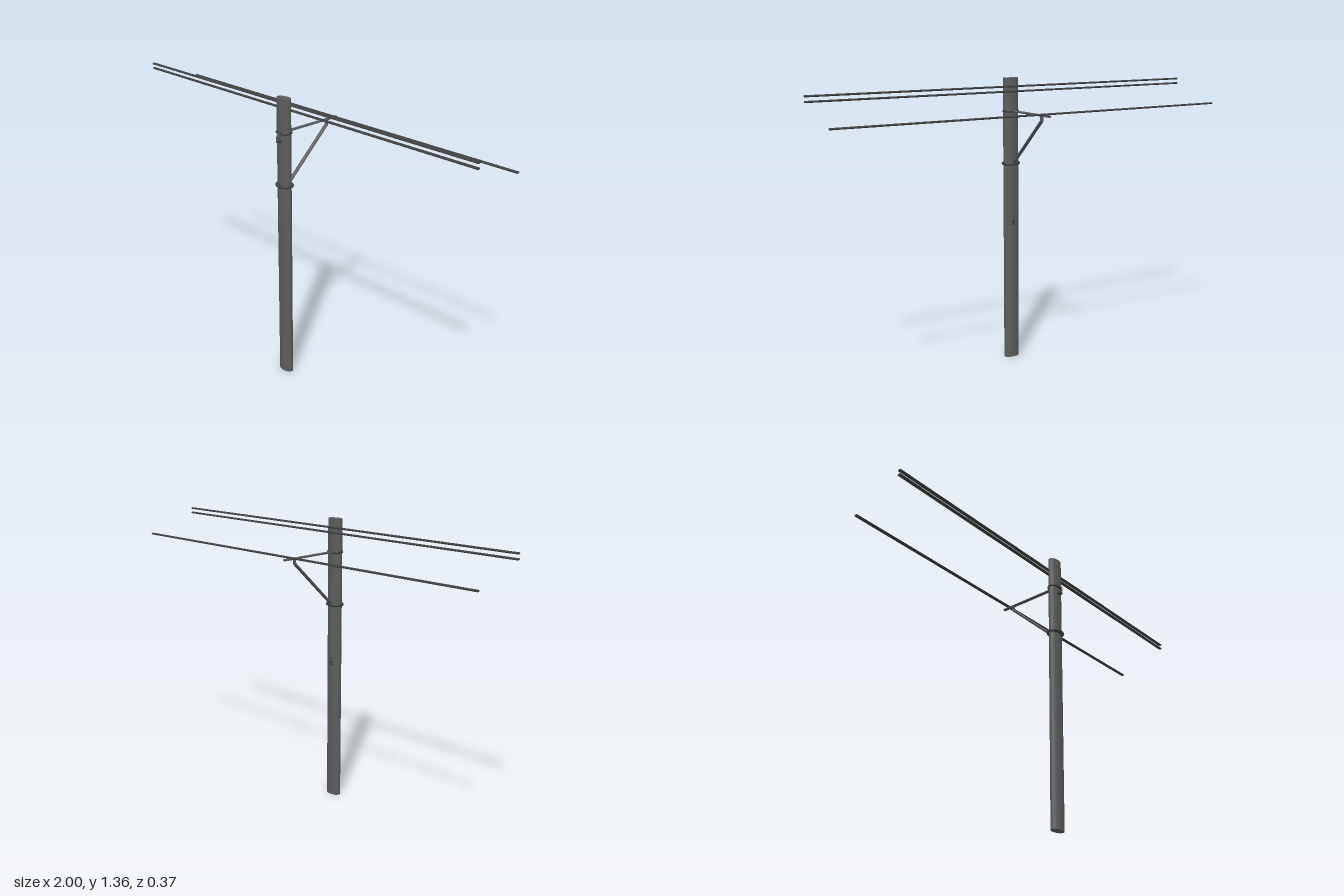
import * as THREE from 'three';

const poleGrey = new THREE.MeshStandardMaterial({ color: 0x5c5c5c });
const armGrey = new THREE.MeshStandardMaterial({ color: 0x58585c });
const darkGrey = new THREE.MeshStandardMaterial({ color: 0x404040 });
const X = -0.004, Z = 0.139; // pole axis

export function createModel() {
  const group = new THREE.Group();

  function add(name, geometry, material, x = 0, y = 0, z = 0) {
    const mesh = new THREE.Mesh(geometry, material);
    mesh.name = name;
    mesh.position.set(x, y, z);
    group.add(mesh);
  }

  // Oval rod along the x axis
  function wire(name, y, z) {
    const g = new THREE.CylinderGeometry(1, 1, 2, 12);
    g.rotateZ(Math.PI / 2);
    g.scale(1, 0.0045, 0.009);
    add(name, g, darkGrey, 0, y, z);
  }

  // Oval rod in the plane x = X, from (y0, z0) to (y1, z1)
  function rod(name, y0, z0, y1, z1, halfWidth, halfDepth) {
    const length = Math.hypot(y1 - y0, z1 - z0);
    const g = new THREE.CylinderGeometry(1, 1, length, 12);
    g.scale(halfWidth, 1, halfDepth);
    g.rotateX(Math.atan2(z1 - z0, y1 - y0));
    add(name, g, armGrey, X, (y0 + y1) / 2, (z0 + z1) / 2);
  }

  // Rounded oval band that wraps the pole
  function collar(name, y, rx, rz, halfHeight) {
    const profile = [new THREE.Vector2(0.6, -halfHeight)];
    for (let i = 0; i <= 8; i++) {
      const a = -Math.PI / 2 + (Math.PI * i) / 8;
      profile.push(new THREE.Vector2(0.85 + 0.15 * Math.cos(a), halfHeight * Math.sin(a)));
    }
    profile.push(new THREE.Vector2(0.6, halfHeight));
    const g = new THREE.LatheGeometry(profile, 32);
    g.scale(rx, 1, rz);
    add(name, g, darkGrey, X, y, Z);
  }

  // Pole, wider across than deep
  const pole = new THREE.CylinderGeometry(1, 1, 1.362, 32);
  pole.scale(0.039, 1, 0.0235);
  add('pole', pole, poleGrey, X, 0.681, Z);

  collar('lowerCollar', 0.962, 0.045, 0.038, 0.007);
  collar('upperCollar', 1.209, 0.041, 0.032, 0.006);

  // Cross arm with its diagonal brace and short link
  rod('crossArm', 1.209, Z, 1.209, -0.184, 0.009, 0.005);
  rod('brace', 0.958, 0.122, 1.187, -0.124, 0.009, 0.0065);
  rod('braceLink', 1.182, -0.122, 1.209, -0.122, 0.008, 0.005);

  // Wires
  wire('upperWire', 1.324, 0.106);
  wire('middleWire', 1.301, 0.106);
  wire('outerWire', 1.217, -0.155);

  // Curled hook on the front of the pole
  const path = new THREE.CatmullRomCurve3([
    [1.209, 0.158], [1.208, 0.172], [1.198, 0.18],
    [1.184, 0.181], [1.174, 0.175], [1.171, 0.16],
  ].map(([y, z]) => new THREE.Vector3(X, y, z)));
  add('frontHook', new THREE.TubeGeometry(path, 24, 0.0035, 8), poleGrey);
  add('hookFoot', new THREE.BoxGeometry(0.018, 0.011, 0.017), darkGrey, X, 1.172, 0.169);

  // Small fitting almost flush with the back of the pole
  add('backBlock', new THREE.BoxGeometry(0.016, 0.024, 0.006), darkGrey, X, 0.678, 0.1177);
  add('backStud', new THREE.BoxGeometry(0.014, 0.008, 0.006), darkGrey, X, 0.703, 0.1177);

  return group;
}
